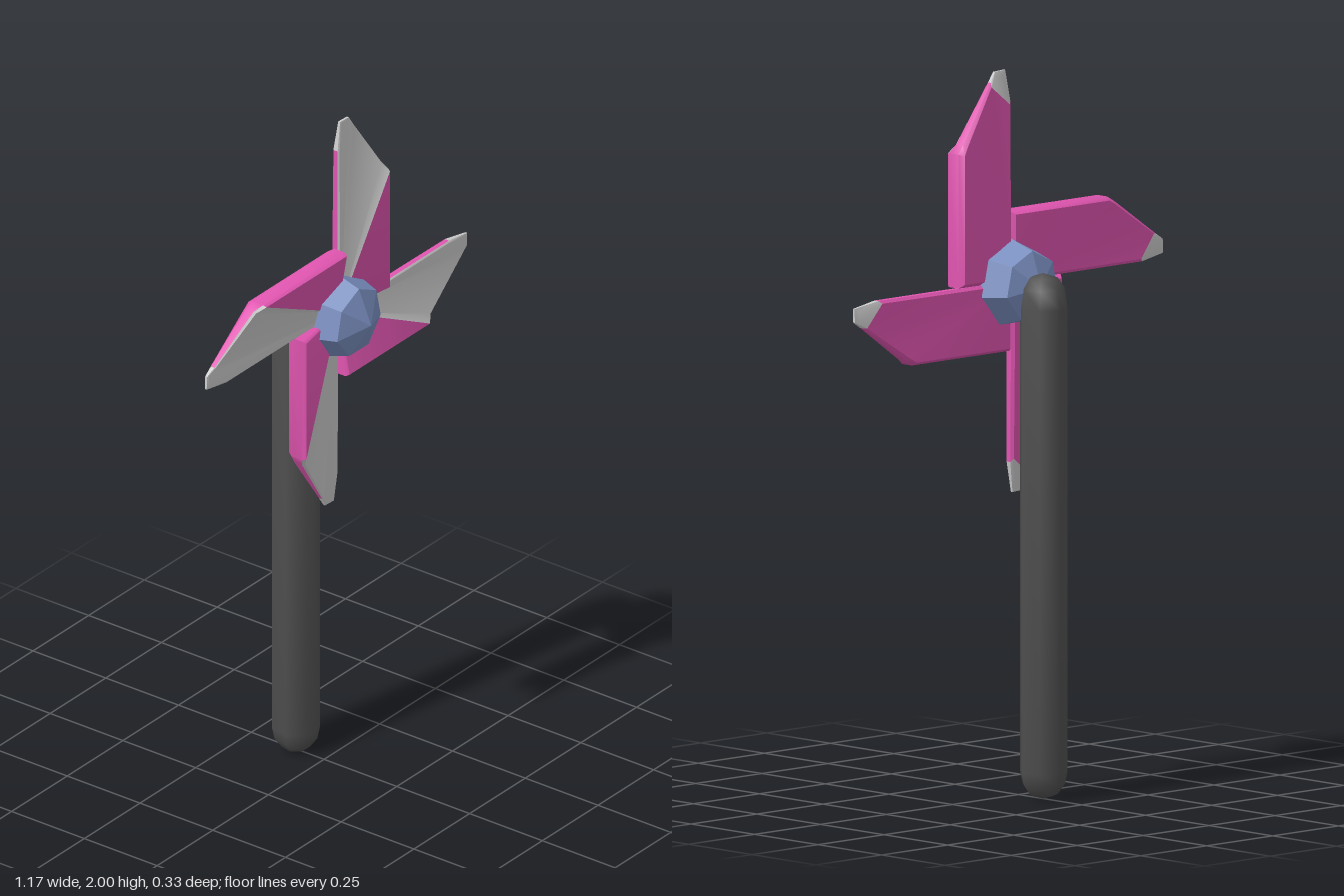
import * as THREE from 'three';
import { toCreasedNormals } from 'three/addons/utils/BufferGeometryUtils.js';

const CENTER_Y = 1.415;
const SIDES = 7;

const paper = new THREE.MeshStandardMaterial({ color: 0xcccccc });
const pink = new THREE.MeshStandardMaterial({ color: 0xe055b0 });
const blue = new THREE.MeshStandardMaterial({ color: 0x7a8fc0, flatShading: true });
const dark = new THREE.MeshStandardMaterial({ color: 0x505050 });

// Seven-sided turned body from [radius, height] pairs
function turned(profile) {
  const points = profile.map(([r, y]) => new THREE.Vector2(r, y));
  return new THREE.LatheGeometry(points, SIDES).rotateY(Math.PI);
}

function geometryFrom(positions) {
  const geometry = new THREE.BufferGeometry();
  geometry.setAttribute('position', new THREE.Float32BufferAttribute(positions, 3));
  return toCreasedNormals(geometry, 0.6);
}

// Blade outline, counterclockwise: x, y, back z, front z
const OUTLINE = [
  [0, 0, 0.02, 0.052],
  [0.193, 0, 0.02, 0.083],
  [0.193, 0.37, 0.02, 0.083],
  [0.178, 0.395, 0.022, 0.066],
  [0.07, 0.555, 0.031, 0.05],
  [0.053, 0.583, 0.035, 0.046],
  [0.014, 0.585, 0.035, 0.046],
  [0, 0.5, 0.026, 0.05],
];
const TIP = 4; // first outline point of the grey tip

// Folded blade: pink back, sides and flap, grey sloping front and tip
function createBlade() {
  const ring = (t, inset) => OUTLINE.map(([x, y, back, front]) => [
    THREE.MathUtils.lerp(x, 0.09, inset),
    THREE.MathUtils.lerp(y, 0.26, inset * 0.45),
    THREE.MathUtils.lerp(back, front, t),
  ]);
  const rings = [ring(0, 0.09), ring(0.25, 0), ring(0.85, 0), ring(1, 0.05)];
  const pinkFaces = [];
  const greyFaces = [];
  const add = (target, ...corners) => target.push(...corners.flat());

  // Sides with softened edges
  const n = OUTLINE.length;
  for (let level = 0; level < 3; level++) {
    for (let i = 0; i < n; i++) {
      const j = (i + 1) % n;
      const isGrey = level === 2 ? i > 1 : i >= TIP && i < n - 1;
      const a = rings[level], b = rings[level + 1];
      add(isGrey ? greyFaces : pinkFaces, a[i], a[j], b[j], a[i], b[j], b[i]);
    }
  }

  // Front and back faces, fanned from the inner corner
  const back = rings[0], front = rings[3];
  for (let i = 1; i < n - 1; i++) {
    add(i === 1 ? pinkFaces : greyFaces, front[0], front[i], front[i + 1]);
  }
  for (let i = 1; i < TIP; i++) add(pinkFaces, back[0], back[i + 1], back[i]);
  add(pinkFaces, back[0], back[n - 1], back[TIP]);
  for (let i = TIP; i < n - 2; i++) add(greyFaces, back[n - 1], back[i + 1], back[i]);

  const blade = new THREE.Group();
  const backSheet = new THREE.Mesh(geometryFrom(pinkFaces), pink);
  const foldedSheet = new THREE.Mesh(geometryFrom(greyFaces), paper);
  backSheet.name = 'bladeBack';
  foldedSheet.name = 'bladeFold';
  blade.add(backSheet, foldedSheet);
  return blade;
}

export function createModel() {
  const model = new THREE.Group();
  model.name = 'pinwheel';

  // Stick with rounded ends
  const stick = new THREE.Mesh(toCreasedNormals(turned([
    [0, 0], [0.04, 0.012], [0.06, 0.04], [0.067, 0.075],
    [0.067, 1.355], [0.06, 1.41], [0.04, 1.44], [0, 1.452],
  ]), 1), dark);
  stick.name = 'stick';
  stick.position.z = -0.097;
  model.add(stick);

  // Faceted hub, its axis pointing forward
  const hub = new THREE.Mesh(turned([
    [0, -0.125], [0.098, -0.09], [0.125, 0], [0.1, 0.085], [0, 0.127],
  ]).rotateX(Math.PI / 2), blue);
  hub.name = 'hub';
  hub.position.set(0, CENTER_Y - 0.005, 0.035);
  model.add(hub);

  // Four blades around the hub
  for (let i = 0; i < 4; i++) {
    const blade = createBlade();
    blade.name = `blade${i + 1}`;
    blade.position.y = CENTER_Y;
    blade.rotation.z = -i * Math.PI / 2;
    model.add(blade);
  }
  return model;
}
